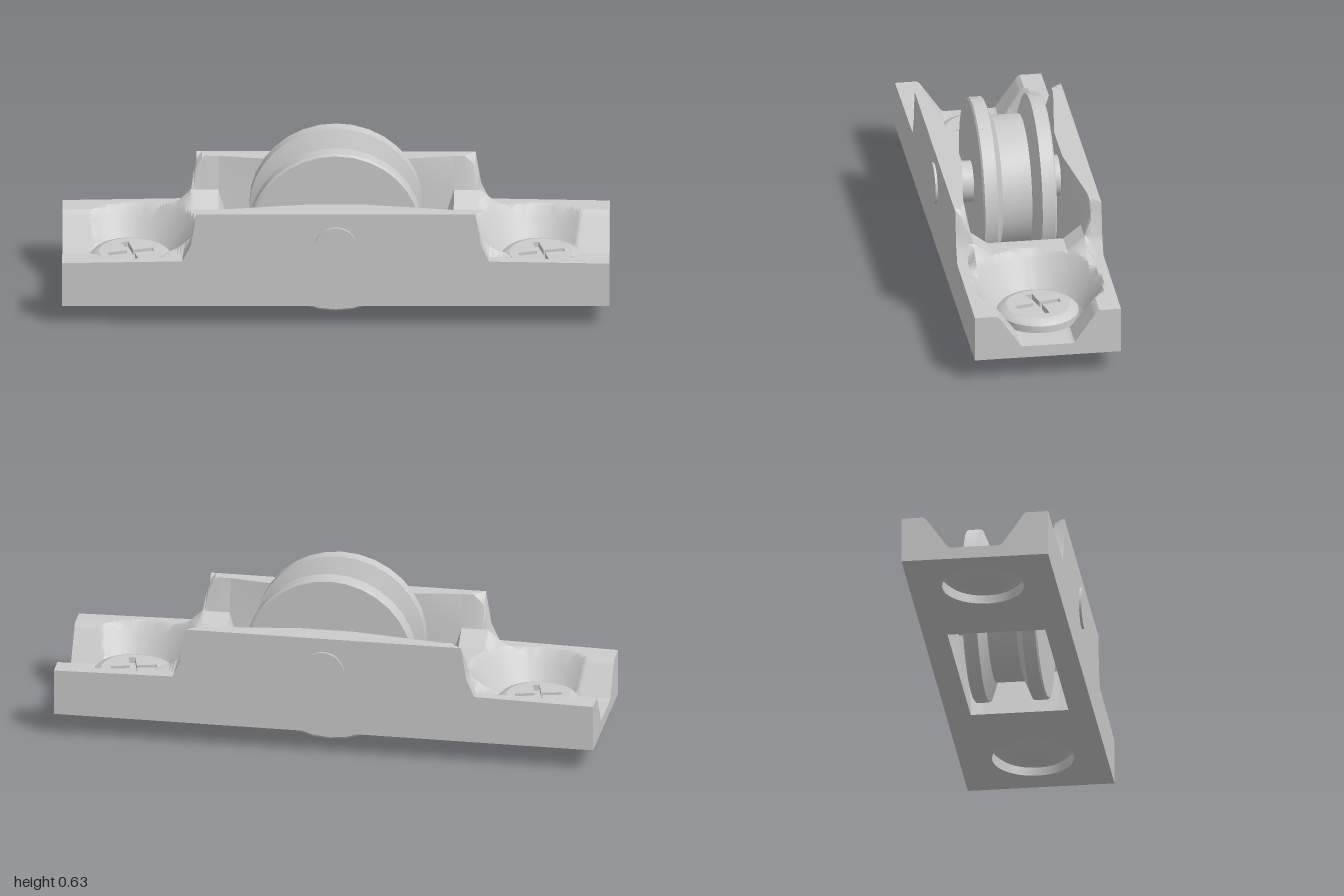
import * as THREE from 'three';
import { toCreasedNormals } from 'three/addons/utils/BufferGeometryUtils.js';

const material = new THREE.MeshStandardMaterial({ color: 0xcccccc });
const BOTTOM = 0.085, HALF_Z = 0.27, SCREW_X = 0.75;

function part(name, geometry, crease = 0.5) {
  const mesh = new THREE.Mesh(toCreasedNormals(geometry, crease), material);
  mesh.name = name;
  return mesh;
}

// Linear interpolation through a short list of [position, value] pairs
function along(pairs, t) {
  if (t <= pairs[0][0]) return pairs[0][1];
  for (let i = 1; i < pairs.length; i++) {
    const [t0, v0] = pairs[i - 1], [t1, v1] = pairs[i];
    if (t <= t1) return v0 + (v1 - v0) * (t - t0) / (t1 - t0);
  }
  return pairs[pairs.length - 1][1];
}

// Surface through rows of points; its front faces (row direction) x (column direction)
function surface(rows) {
  const n = rows[0].length, index = [];
  for (let i = 0; i < rows.length - 1; i++) {
    for (let j = 0; j < n - 1; j++) {
      const a = i * n + j, b = a + n;
      index.push(a, b, a + 1, b, b + 1, a + 1);
    }
  }
  const g = new THREE.BufferGeometry();
  g.setAttribute('position', new THREE.Float32BufferAttribute(rows.flat(2), 3));
  g.setIndex(index);
  return g;
}

function steps(from, to, count) {
  return Array.from({ length: count + 1 }, (_, i) => from + (to - from) * i / count);
}

// Outer side profile of the frame, for x >= 0
const PROFILE = [[0.51, 0.455], [0.53, 0.33], [0.56, 0.265], [1, 0.257]];

// Height of an end block: deck, wall ends, and the screw well with its open notch
function endHeight(x, z) {
  const w = Math.abs(z);
  const wall = along(PROFILE, x);
  const rim = along([[0.53, 0.33], [0.58, 0.285], [0.64, 0.262], [1, 0.257]], x);
  const bar = along([[0.53, 0.28], [0.64, 0.262], [1, 0.257]], x);
  const deck = along([[0.14, bar], [0.205, rim], [0.23, wall]], w);
  const cone = 0.13 + 1.6 * Math.max(0, Math.hypot(x - SCREW_X, z) - 0.155);
  const notch = x > SCREW_X ? 0.13 + 1.45 * Math.max(0, w - 0.097) : Infinity;
  return Math.min(deck, cone, notch);
}

// Sloped window end, deck with well, and end face in one sheet
function endBlock() {
  const half = [...steps(0, 0.2, 20), 0.205, 0.23, 0.24, 0.25, HALF_Z];
  const zs = [...half.slice(1).reverse().map(z => -z), ...half];
  const xs = [0.43, 0.47, 0.49, 0.51, 0.52, ...steps(0.53, 1, 47)];
  return surface(zs.map(z => [
    [0.35, BOTTOM, z],
    ...xs.map(x => [x, endHeight(x, z), z]),
    [1, BOTTOM, z]
  ]));
}

// Top and inner face of a side wall, thickest around the axle
function wallInside() {
  return surface([-0.43, -0.1, 0.1, 0.43].map(x => {
    const far = Math.abs(x) > 0.2;
    return [
      [x, 0.455, HALF_Z],
      [x, 0.455, far ? 0.23 : 0.185],
      [x, 0.33, far ? 0.205 : 0.185],
      [x, BOTTOM, 0.18]
    ];
  }));
}

function wallOutside() {
  const pts = [[-1, BOTTOM], [1, BOTTOM], ...PROFILE.slice().reverse(), ...PROFILE.map(([x, y]) => [-x, y])];
  return new THREE.ShapeGeometry(new THREE.Shape(pts.map(p => new THREE.Vector2(...p))))
    .translate(0, 0, HALF_Z);
}

function rectangle(Type, x, y) {
  return new Type([[-x, -y], [x, -y], [x, y], [-x, y]].map(p => new THREE.Vector2(...p)));
}

// Underside with the wheel window and two screw holes
function underside() {
  const shape = rectangle(THREE.Shape, 1, HALF_Z);
  shape.holes.push(rectangle(THREE.Path, 0.35, 0.18));
  for (const s of [-1, 1]) {
    shape.holes.push(new THREE.Path().absarc(s * SCREW_X, 0, 0.15, 0, Math.PI * 2, true));
  }
  return new THREE.ShapeGeometry(shape, 20).rotateX(Math.PI / 2).translate(0, BOTTOM, 0);
}

function lathe(points, segments) {
  return new THREE.LatheGeometry(points.map(p => new THREE.Vector2(...p)), segments);
}

// Round screw head with a cross recess
function screw() {
  const g = new THREE.Group();
  g.name = 'screw';
  g.add(part('screwRim', lathe(
    [[0, 0.092], [0.08, 0.096], [0.13, 0.108], [0.15, 0.125], [0.15, 0.157], [0.14, 0.168], [0.115, 0.177]], 40), 0.7));

  const cap = new THREE.Shape().absarc(0, 0, 0.116, 0, Math.PI * 2);
  const a = 0.085, b = 0.012, cross = [];
  for (let i = 0; i < 4; i++) {
    for (const [x, y] of [[a, -b], [a, b], [b, b]]) {
      cross.push(new THREE.Vector2(x, y).rotateAround(new THREE.Vector2(), i * Math.PI / 2 + 0.25));
    }
  }
  cap.holes.push(new THREE.Path(cross));
  const capGeo = new THREE.ExtrudeGeometry(cap, { depth: 0.025, bevelEnabled: false, curveSegments: 20 });
  g.add(part('screwCap', capGeo.rotateX(-Math.PI / 2).translate(0, 0.152, 0)));
  g.add(part('screwSlotFloor', new THREE.CircleGeometry(0.12, 24).rotateX(-Math.PI / 2).translate(0, 0.156, 0)));
  return g;
}

export function createModel() {
  const model = new THREE.Group();
  model.name = 'pulleyBlock';

  // Frame: each half turned about the vertical axis gives the other
  const frame = new THREE.Group();
  frame.name = 'frame';
  frame.add(part('underside', underside()));
  for (const turn of [0, Math.PI]) {
    const half = new THREE.Group();
    half.name = 'frameHalf';
    half.add(part('endBlock', endBlock()), part('sideWallInside', wallInside()), part('sideWallOutside', wallOutside()));
    const bore = new THREE.CylinderGeometry(0.15, 0.15, 0.045, 40, 1, true).scale(-1, 1, 1);
    // Reverse the winding so that the bore shows from inside
    bore.translate(SCREW_X, BOTTOM + 0.0225, 0);
    half.add(part('screwHole', bore));
    half.rotation.y = turn;
    frame.add(half);
  }
  model.add(frame);

  for (const s of [-1, 1]) {
    const head = screw();
    head.position.x = s * SCREW_X;
    model.add(head);
  }

  // Grooved wheel on its axle
  const R = 0.317;
  const wheel = part('wheel', lathe([
    [0, -0.136], [R - 0.008, -0.136], [R, -0.13], [R, -0.082], [0.246, -0.054],
    [0.246, 0.054], [R, 0.082], [R, 0.13], [R - 0.008, 0.136], [0, 0.136]
  ], 32), 0.4);
  wheel.rotation.x = Math.PI / 2;
  wheel.position.y = R;
  const axle = part('axle', new THREE.CylinderGeometry(0.076, 0.076, 0.558, 32));
  axle.rotation.x = Math.PI / 2;
  axle.position.y = 0.327;
  model.add(wheel, axle);
  return model;
}
